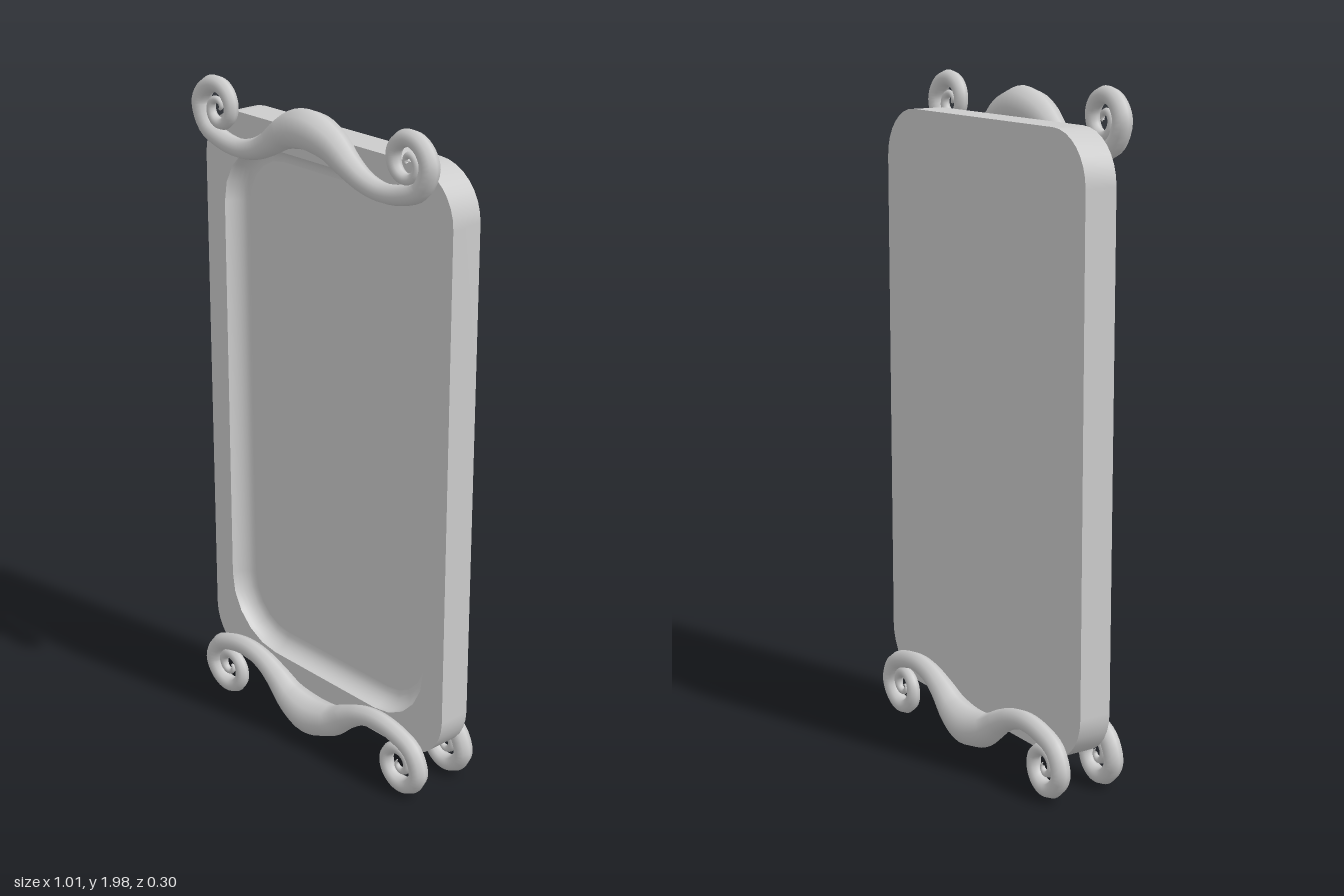
import * as THREE from 'three';
import { ParametricGeometry } from 'three/addons/geometries/ParametricGeometry.js';

const MID_Y = 1.0025;
const BACK_Z = -0.06, FRONT_Z = 0.04;
const OUTER = [0.505, 0.883, 0.15]; // half width, half height, corner radius
const INNER = [0.425, 0.803, 0.2];

// Counter-clockwise outline of a rounded rectangle, shrunk by an inset
function outline([hw, hh, radius], inset = 0, steps = 8) {
  const r = radius - inset;
  const pts = [];
  [[1, 1], [-1, 1], [-1, -1], [1, -1]].forEach(([sx, sy], q) => {
    for (let i = 0; i <= steps; i++) {
      const a = (q + i / steps) * Math.PI / 2;
      pts.push(new THREE.Vector2(
        sx * (hw - radius) + r * Math.cos(a),
        sy * (hh - radius) + r * Math.sin(a)));
    }
  });
  return pts;
}

// Skin between closed outlines, each given as { pts, z }
function loft(loops) {
  const n = loops[0].pts.length;
  const pos = [], index = [];
  for (const { pts, z } of loops) for (const p of pts) pos.push(p.x, p.y, z);
  for (let j = 0; j < loops.length - 1; j++) {
    for (let i = 0; i < n; i++) {
      const a = j * n + i, b = j * n + (i + 1) % n;
      index.push(a, b, b + n, a, b + n, a + n);
    }
  }
  const geo = new THREE.BufferGeometry();
  geo.setAttribute('position', new THREE.Float32BufferAttribute(pos, 3));
  geo.setIndex(index);
  geo.computeVertexNormals();
  return geo;
}

// Centre line of a scroll: a wave that rises from the middle and curls into a spiral
function scrollPath() {
  const half = [[0.09, 0.115], [0.16, 0.16], [0.22, 0.19], [0.29, 0.204],
    [0.37, 0.194], [0.435, 0.165]].map(([x, y]) => new THREE.Vector3(x, y, 0));
  const waveCount = half.length;
  const turn = 3.2 * Math.PI, count = 18;
  for (let i = 0; i <= count; i++) {
    const a = -turn * i / count;
    const r = 0.078 * (1 - 0.93 * i / count);
    half.push(new THREE.Vector3(0.385 + r * Math.cos(a), 0.105 + r * Math.sin(a), 0));
  }
  const mirrored = half.map(p => new THREE.Vector3(-p.x, p.y, 0)).reverse();
  const points = [...mirrored, new THREE.Vector3(0, 0.094, 0), ...half];
  return { curve: new THREE.CatmullRomCurve3(points), curlStart: (waveCount + 1) / half.length };
}

// Tapered tube, thick in the middle and fine at the curls
function scrollGeometry() {
  const { curve, curlStart } = scrollPath();
  const c = new THREE.Vector3(), t = new THREE.Vector3();
  return new ParametricGeometry((u, v, target) => {
    const w = Math.min(1, Math.max(0, u));
    curve.getPoint(w, c);
    curve.getTangent(w, t);
    const curl = Math.max(0, (Math.abs(2 * w - 1) - curlStart) / (1 - curlStart));
    const r = (0.028 + 0.03 * Math.exp(-((c.x / 0.15) ** 2))) * (1 - 0.85 * curl);
    const a = v * Math.PI * 2;
    target.set(c.x + r * Math.cos(a) * t.y, c.y - r * Math.cos(a) * t.x, r * Math.sin(a));
  }, 200, 8);
}

export function createModel() {
  const group = new THREE.Group();
  const grey = new THREE.MeshStandardMaterial({ color: 0xcccccc });
  const add = (parent, name, geo) => {
    const mesh = new THREE.Mesh(geo, grey);
    mesh.name = name;
    parent.add(mesh);
    return mesh;
  };

  // Rounded panel: front rim, outer edge and back
  const panel = new THREE.Group();
  panel.name = 'panel';
  panel.position.y = MID_Y;
  group.add(panel);

  const rim = new THREE.Shape(outline(OUTER));
  rim.holes.push(new THREE.Path(outline(INNER, 0, 5)));
  add(panel, 'frontRim', new THREE.ShapeGeometry(rim)).position.z = FRONT_Z;

  const edge = outline(OUTER);
  add(panel, 'outerEdge', loft([{ pts: edge, z: BACK_Z }, { pts: edge, z: FRONT_Z }]));

  const back = add(panel, 'back', new THREE.ShapeGeometry(new THREE.Shape(edge)));
  back.rotation.y = Math.PI;
  back.position.z = BACK_Z;

  // Hollow with a curved wall running into a flat floor
  const depth = 0.055, fillet = 0.05, steps = 6;
  const loops = [];
  for (let i = 0; i <= steps; i++) {
    const a = i / steps * Math.PI / 2;
    loops.push({
      pts: outline(INNER, fillet * (1 - Math.cos(a)), 5),
      z: FRONT_Z - depth * Math.sin(a),
    });
  }
  add(panel, 'recessWall', loft(loops));
  const floor = new THREE.Shape(outline(INNER, fillet, 5));
  add(panel, 'recessFloor', new THREE.ShapeGeometry(floor)).position.z = FRONT_Z - depth;

  // Scrolls: two at the foot, one upside down at the top front
  const scroll = scrollGeometry();
  add(group, 'bottomFrontScroll', scroll).position.z = 0.088;
  add(group, 'bottomBackScroll', scroll).position.z = -0.095;
  const top = add(group, 'topFrontScroll', scroll);
  top.rotation.x = Math.PI;
  top.position.set(0, 2 * MID_Y, 0.088);

  return group;
}
